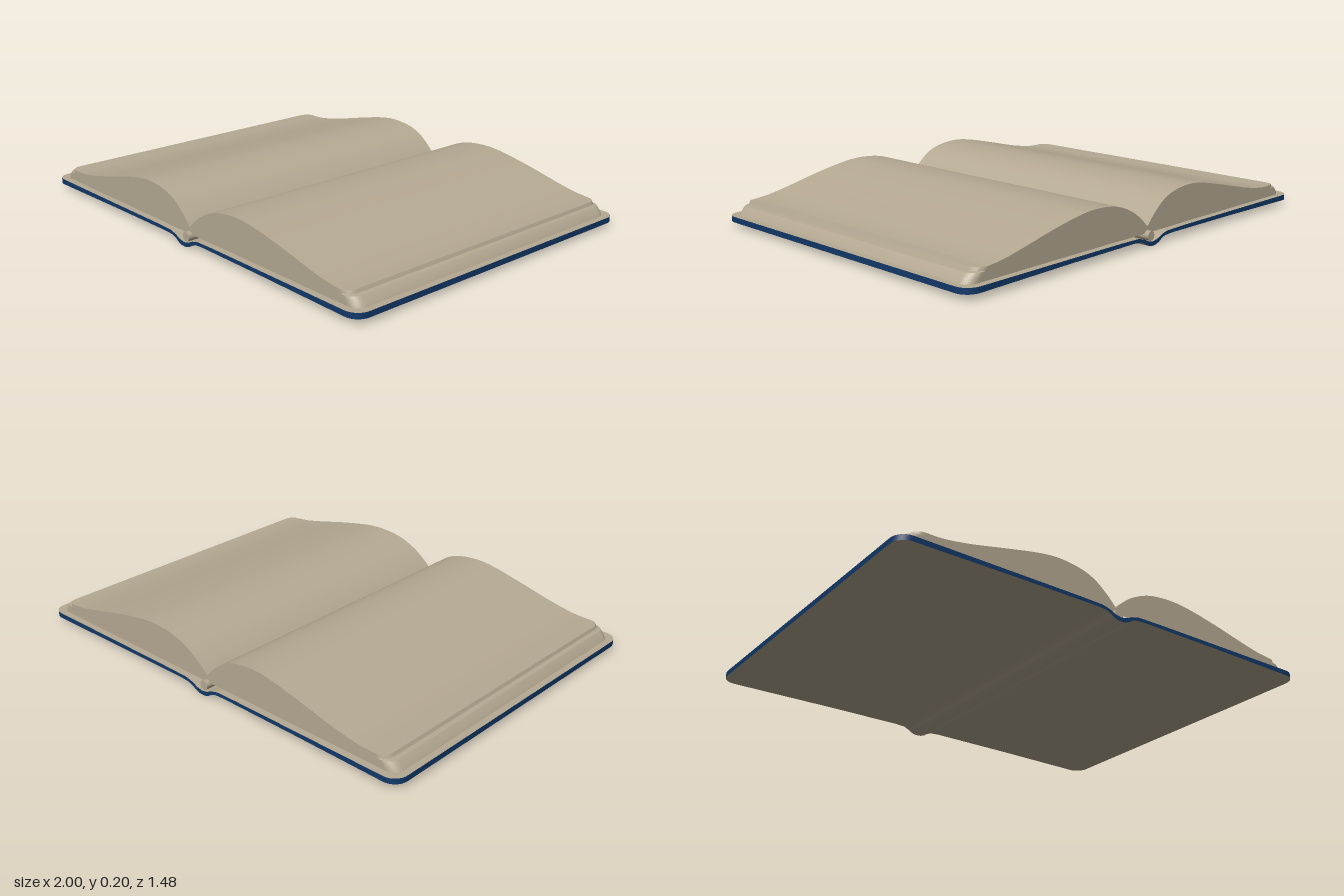
import * as THREE from 'three';
import { toCreasedNormals } from 'three/addons/utils/BufferGeometryUtils.js';

// Joins grids of points (rows of [x, y, z]) into one surface
function surface(grids, flip = false) {
  const pos = [], index = [];
  for (const rows of grids) {
    const base = pos.length / 3, n = rows[0].length;
    rows.forEach(row => row.forEach(p => pos.push(...p)));
    for (let i = 0; i < rows.length - 1; i++) {
      for (let j = 0; j < n - 1; j++) {
        const a = base + i * n + j, b = a + n, c = b + 1, d = a + 1;
        if (flip) index.push(a, c, b, a, d, c);
        else index.push(a, b, c, a, c, d);
      }
    }
  }
  const g = new THREE.BufferGeometry();
  g.setAttribute('position', new THREE.Float32BufferAttribute(pos, 3));
  g.setIndex(index);
  return toCreasedNormals(g, 0.6);
}

// Stations along a rounded corner: offset along x and inset in z
function corner(r, steps = 7) {
  return Array.from({ length: steps }, (_, i) => {
    const a = (i + 1) / steps * Math.PI / 2;
    return [r * Math.sin(a), r * (1 - Math.cos(a))];
  });
}

// Height along a list of [x, y] points
function heightAt(points, x) {
  for (let i = 1; i < points.length; i++) {
    const [x0, y0] = points[i - 1], [x1, y1] = points[i];
    if (x <= x1) return y0 + (y1 - y0) * (x - x0) / (x1 - x0);
  }
  return points[points.length - 1][1];
}

// One half of the page block: curved top, straight ends, stepped fore edge
function pageBlock(profile, side) {
  const W = 0.71, END = 0.92, R = 0.045, BASE = 0.048;
  const spline = new THREE.SplineCurve(profile.map(p => new THREE.Vector2(...p)));
  const stations = spline.getPoints(60).map(p => [p.x, p.y, W]);
  const [lastX, lastY] = profile[profile.length - 1];
  corner(R).forEach(([dx, dz]) => stations.push([lastX + dx, lastY, W - dz]));

  // [outer end, share of the height]
  const levels = [[0.972, 0], [0.962, 0.35], [0.945, 0.7], [0.926, 0.74], [0.92, 1]];
  const rows = stations.map(([x, y, w]) => {
    const at = z => ([end, f]) => [side * x * end / END, BASE + f * (y - BASE), z];
    return [...levels.map(at(w)), ...levels.map(at(-w)).reverse()];
  });
  const last = rows[rows.length - 1], n = levels.length;
  const foreEdge = [last.slice(0, n), last.slice(n).reverse()];
  return surface([rows, foreEdge], side < 0);
}

// Cover boards and spine: two faces and the rim between them
function coverParts() {
  const W = 0.74, R = 0.06;
  const under = [[0, 0.002], [0.02, 0.004], [0.04, 0.012], [0.055, 0.022], [0.075, 0.03], [0.12, 0.033], [0.5, 0.031], [1, 0.025]];
  const over = [[0, 0.02], [0.03, 0.026], [0.055, 0.038], [0.09, 0.047], [0.2, 0.049], [1, 0.049]];
  const half = [];
  for (let i = 0; i <= 24; i++) half.push([i * 0.005, W]);
  for (let i = 1; i <= 12; i++) half.push([0.12 + i / 12 * (1 - R - 0.12), W]);
  corner(R).forEach(([dx, dz]) => half.push([1 - R + dx, W - dz]));
  const stations = [...half.slice(1).reverse().map(([x, w]) => [-x, w]), ...half];

  const face = prof => stations.map(([x, w]) => {
    const y = heightAt(prof, Math.abs(x));
    return [[x, y, w], [x, y, -w]];
  });
  const lower = face(under), upper = face(over);
  const edge = k => stations.map((_, i) => [lower[i][k], upper[i][k]]);
  const front = edge(0), back = edge(1).reverse();
  return {
    faces: surface([upper]),
    underside: surface([lower], true),
    rim: surface([[...front, ...back, front[0]]]),
  };
}

export function createModel() {
  const book = new THREE.Group();
  book.name = 'openBook';
  const paper = new THREE.MeshStandardMaterial({ color: 0xb5a992 });
  paper.name = 'tan paper';
  const blue = new THREE.MeshStandardMaterial({ color: 0x123868 });
  blue.name = 'navy edge';

  const add = (name, geometry, material) => {
    const mesh = new THREE.Mesh(geometry, material);
    mesh.name = name;
    book.add(mesh);
    return mesh;
  };

  // Pages
  const leftProfile = [[0, 0.075], [0.04, 0.112], [0.1, 0.153], [0.19, 0.188], [0.3, 0.2],
    [0.4, 0.193], [0.55, 0.165], [0.7, 0.13], [0.8, 0.109], [0.875, 0.1]];
  const rightProfile = [[0, 0.075], [0.04, 0.118], [0.1, 0.165], [0.17, 0.192], [0.27, 0.203],
    [0.37, 0.193], [0.52, 0.16], [0.68, 0.122], [0.8, 0.102], [0.875, 0.1]];
  add('leftPages', pageBlock(leftProfile, 1), paper);
  add('rightPages', pageBlock(rightProfile, -1), paper);

  // Cover
  const cover = coverParts();
  add('coverInside', cover.faces, paper);
  add('coverOutside', cover.underside, paper);
  add('coverRim', cover.rim, blue);

  // Binding roll inside the spine
  const roll = new THREE.CylinderGeometry(0.02, 0.02, 1.46, 20).rotateX(Math.PI / 2);
  add('binding', roll, paper).position.y = 0.04;

  return book;
}
